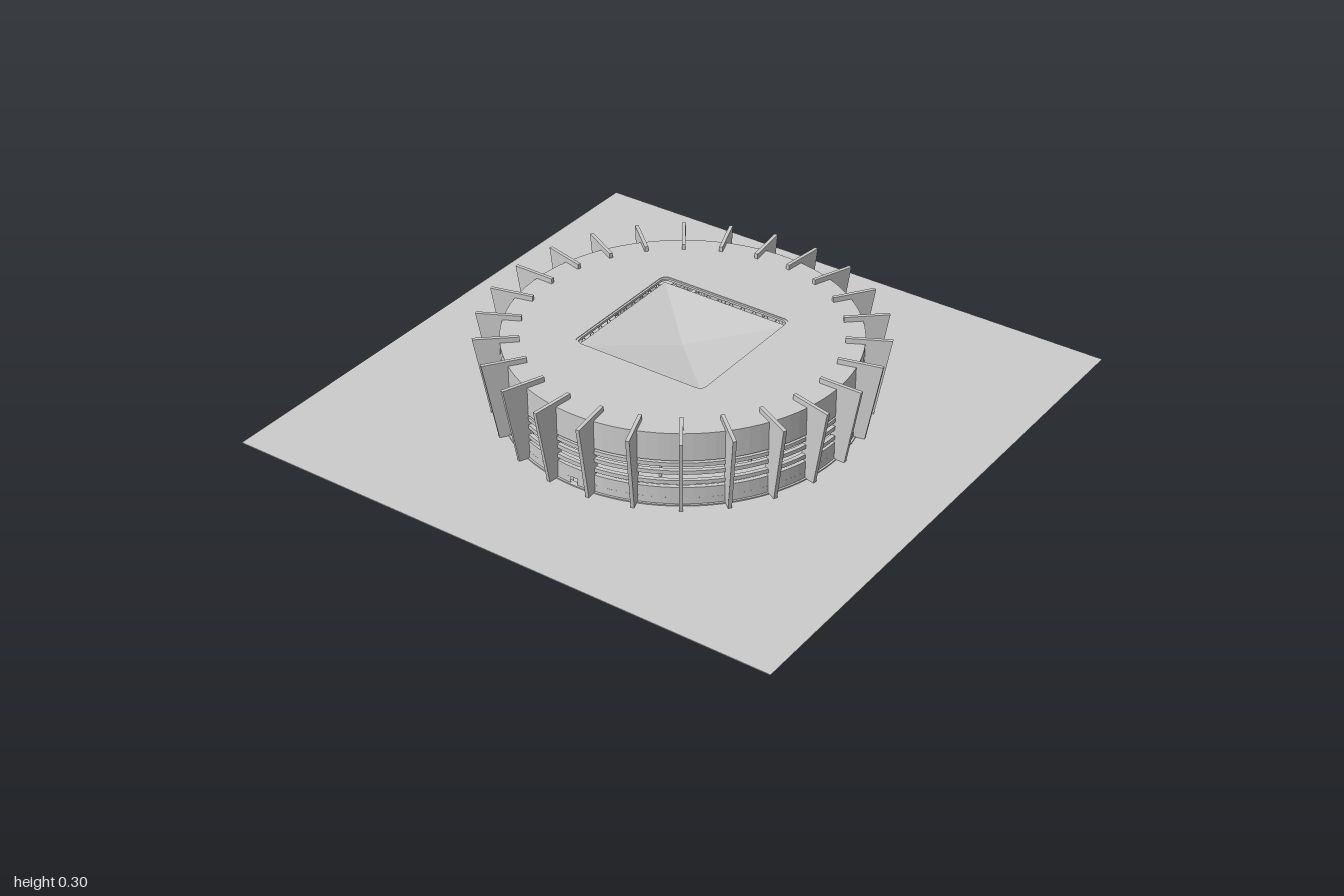
import * as THREE from 'three';

export function createModel() {
  const model = new THREE.Group();
  const mat = new THREE.MeshStandardMaterial({ color: 0xcccccc, side: THREE.DoubleSide });
  const add = (name, geo, parent = model) => {
    const mesh = new THREE.Mesh(geo, mat);
    mesh.name = name;
    parent.add(mesh);
    return mesh;
  };
  const R = 0.583; // outer wall radius
  const FINS = 26;
  const ROOF = 0.28;

  // Closed lathe ring of rectangular section, optionally only an arc
  const ring = (y0, y1, r0 = R - 0.014, r1 = R, start = 0, length = Math.PI * 2) => {
    const section = [[r0, y0], [r1, y0], [r1, y1], [r0, y1], [r0, y0]];
    const parts = new THREE.LatheGeometry(
      section.map(([r, y]) => new THREE.Vector2(r, y)), 104, start, length).toNonIndexed();
    parts.computeVertexNormals();
    return parts;
  };

  // Rounded square outline, used for the roof opening and its frame
  const roundedSquare = (h, r, Type = THREE.Path) => {
    const p = new Type();
    p.moveTo(-h + r, -h);
    p.lineTo(h - r, -h);
    p.quadraticCurveTo(h, -h, h, -h + r);
    p.lineTo(h, h - r);
    p.quadraticCurveTo(h, h, h - r, h);
    p.lineTo(-h + r, h);
    p.quadraticCurveTo(-h, h, -h, h - r);
    p.lineTo(-h, -h + r);
    p.quadraticCurveTo(-h, -h, -h + r, -h);
    return p;
  };
  // Extrude a plan shape so that its top lies at the given height
  const slab = (shape, top, depth) => new THREE.ExtrudeGeometry(shape,
    { depth, bevelEnabled: false, curveSegments: 52 })
    .rotateX(-Math.PI / 2).translate(0, top - depth, 0);

  // Ground sheet
  add('ground', new THREE.BoxGeometry(2, 0.003, 2).translate(0, 0.0165, 0));

  // Outer wall: footing, base with two entrances, louvre bands, upper wall
  const wall = new THREE.Group();
  wall.name = 'outerWall';
  model.add(wall);
  add('footing', ring(0.01, 0.022, 0.57, 0.59), wall);
  const gap = 0.022; // half angle of an entrance
  for (const side of [0, Math.PI])
    add('baseWall', ring(0.018, 0.045, R - 0.014, R, side + Math.PI / 2 + gap, Math.PI - 2 * gap), wall);
  add('baseLintel', ring(0.045, 0.083), wall);
  for (const y of [0.094, 0.13, 0.159]) add('louvreBand', ring(y, y + 0.014), wall);
  add('upperWall', ring(0.181, ROOF), wall);

  // Roof disc with a square opening
  const roof = new THREE.Shape().absarc(0, 0, R, 0, Math.PI * 2);
  roof.holes.push(roundedSquare(0.25, 0.03));
  add('roof', slab(roof, ROOF, 0.015));

  // Frame below the edge of the opening
  const frame = roundedSquare(0.25, 0.03, THREE.Shape);
  frame.holes.push(roundedSquare(0.243, 0.027));
  add('openingFrame', slab(frame, ROOF - 0.002, 0.008));
  add('lowerFrame', slab(frame, 0.245, 0.008));

  // Zigzag truss on each side of the opening
  for (let s = 0; s < 4; s++) {
    const truss = new THREE.Group();
    truss.name = 'openingTruss';
    truss.rotation.y = s * Math.PI / 2;
    model.add(truss);
    const n = 20;
    const point = i => new THREE.Vector3(-0.225 + 0.45 * i / n,
      i % 2 ? 0.274 : 0.242, i % 2 ? 0.246 : 0.236);
    for (let i = 0; i < n; i++)
      add('trussBar', new THREE.TubeGeometry(
        new THREE.LineCurve3(point(i), point(i + 1)), 1, 0.0018, 4), truss);
  }

  // Shallow four-sided canopy sinking to the middle of the opening
  const canopy = new THREE.ConeGeometry(0.24 * Math.SQRT2, 0.035, 4, 1, true)
    .rotateY(Math.PI / 4).rotateX(Math.PI).toNonIndexed();
  canopy.computeVertexNormals();
  add('canopy', canopy.translate(0, 0.2455, 0));

  // Radial fins, leaning outwards
  const profile = new THREE.Shape([[0.565, 0.02], [0.62, 0.02], [0.67, 0.298],
    [0.52, 0.298], [0.52, 0.275], [0.565, 0.275]].map(([x, y]) => new THREE.Vector2(x, y)));
  const finGeo = new THREE.ExtrudeGeometry(profile, { depth: 0.012, bevelEnabled: false })
    .translate(0, 0, -0.006);
  for (let i = 0; i < FINS; i++)
    add('fin', finGeo).rotation.y = (i + 0.5) * Math.PI * 2 / FINS;

  // Roof columns
  const columnGeo = new THREE.CylinderGeometry(0.005, 0.005, 0.27, 10).translate(0, 0.135, 0);
  for (const sx of [-1, 1]) for (const sz of [-1, 1])
    for (const [x, z] of [[0.39, 0.19], [0.19, 0.39]])
      add('column', columnGeo).position.set(sx * x, 0, sz * z);

  return model;
}
